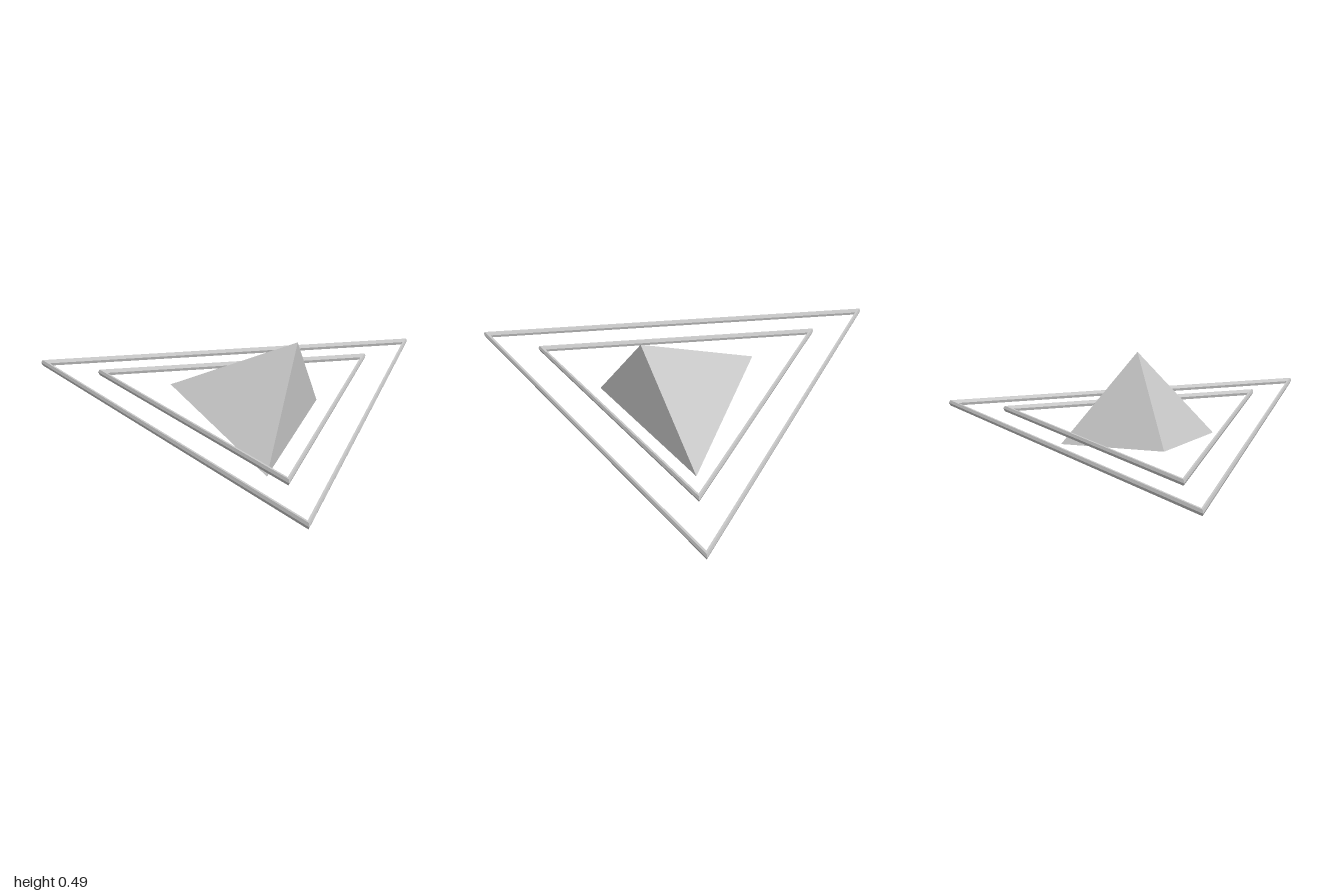
import * as THREE from 'three';

export function createModel() {
  const model = new THREE.Group();
  const material = new THREE.MeshStandardMaterial({ color: 0xcccccc, flatShading: true });
  const midY = 0.164;

  const add = (name, geometry, x, y) => {
    const mesh = new THREE.Mesh(geometry, material);
    mesh.name = name;
    mesh.position.set(x, y, 0);
    model.add(mesh);
  };

  // Flat triangular rings with a hexagonal section, one corner towards -x
  const tube = 0.0175;
  const addRing = (name, cornerRadius) => {
    const ring = new THREE.TorusGeometry(cornerRadius - tube, tube, 6, 3);
    ring.rotateX(Math.PI / 2).rotateY(Math.PI);
    add(name, ring, 0.288, midY);
  };
  addRing('outerRing', 1.1547);
  addRing('innerRing', 0.822);

  // Three-sided pyramid lying on its side, tip towards -x, widened in z
  const pyramid = new THREE.ConeGeometry(0.327, 0.646, 3, 1, false, Math.PI / 2);
  pyramid.scale(1, 1, 1.5).rotateZ(Math.PI / 2);
  add('pyramid', pyramid, 0.193, midY);

  return model;
}
